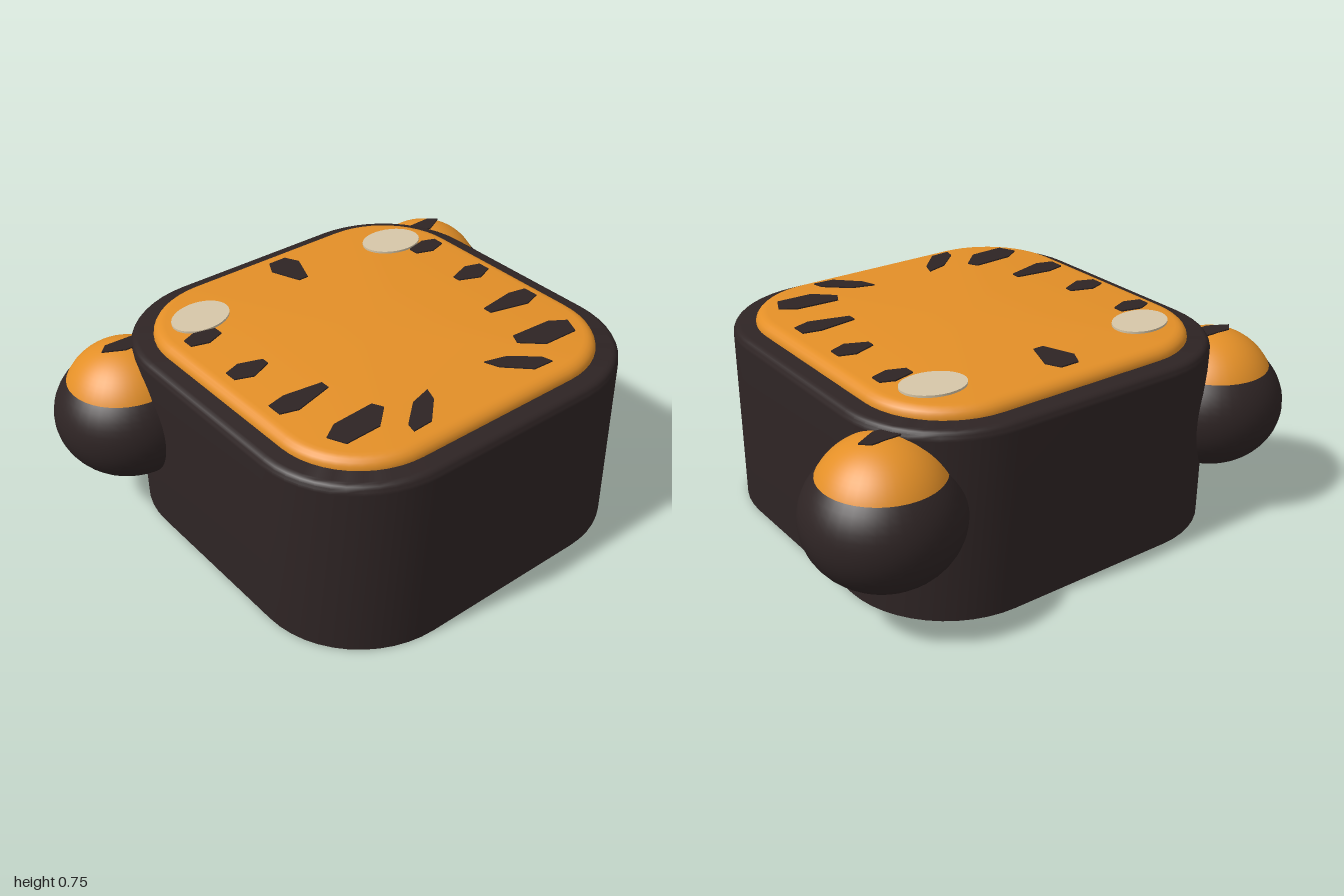
import * as THREE from 'three';
import { toCreasedNormals } from 'three/addons/utils/BufferGeometryUtils.js';

const mat = (name, color) => new THREE.MeshStandardMaterial({ name, color });

// Outline of a rounded rectangle as [x, z] points
function outline(hx, hz, r, steps = 12) {
  const pts = [];
  const corners = [[1, 1], [-1, 1], [-1, -1], [1, -1]];
  corners.forEach(([sx, sz], q) => {
    for (let i = 0; i <= steps; i++) {
      const a = (q + i / steps) * Math.PI / 2;
      pts.push([sx * (hx - r) + r * Math.cos(a), sz * (hz - r) + r * Math.sin(a)]);
    }
  });
  return pts;
}

// Closed block lofted through [inset, y] levels of a rounded rectangle
function block(hx, hz, r, levels) {
  const pos = [], idx = [];
  const rings = levels.map(([d, y]) => outline(hx - d, hz - d, r - d).map(([x, z]) => [x, y, z]));
  const n = rings[0].length;
  rings.forEach(ring => ring.forEach(p => pos.push(...p)));
  for (let k = 0; k < rings.length - 1; k++) {
    for (let i = 0; i < n; i++) {
      const a = k * n + i, b = k * n + (i + 1) % n;
      idx.push(a, a + n, b, b, a + n, b + n);
    }
  }
  const bottom = pos.length / 3, top = bottom + 1, last = (rings.length - 1) * n;
  pos.push(0, levels[0][1], 0, 0, levels[levels.length - 1][1], 0);
  for (let i = 0; i < n; i++) {
    const j = (i + 1) % n;
    idx.push(bottom, i, j, top, last + j, last + i);
  }
  const geo = new THREE.BufferGeometry();
  geo.setAttribute('position', new THREE.Float32BufferAttribute(pos, 3));
  geo.setIndex(idx);
  return toCreasedNormals(geo, 0.6);
}

// Quarter-round top edge as [inset, y] levels
function roundedTop(width, y, height, steps = 5) {
  const out = [];
  for (let i = 0; i <= steps; i++) {
    const a = i / steps * Math.PI / 2;
    out.push([width * (1 - Math.cos(a)), y + height * Math.sin(a)]);
  }
  return out;
}

// Thin plate from a list of [x, z] corners
function plate(points, y, side) {
  const shape = new THREE.Shape(points.map(([x, z]) => new THREE.Vector2(x * side, -z)));
  const geo = new THREE.ExtrudeGeometry(shape, { depth: 0.005, bevelEnabled: false });
  return geo.rotateX(-Math.PI / 2).translate(0, y, 0);
}

export function createModel() {
  const dark = mat('dark brown', 0x2e2424);
  const orange = mat('orange', 0xe38f27);
  const cream = mat('cream', 0xd6c6a8);
  const model = new THREE.Group();
  const add = (name, geo, material, x = 0, y = 0, z = 0) => {
    const mesh = new THREE.Mesh(geo, material);
    mesh.name = name;
    mesh.position.set(x, y, z);
    model.add(mesh);
    return mesh;
  };

  // Body with raised top panel and orange underside
  const cz = 0.035;
  add('body', block(0.74, 0.74, 0.4, [[0, 0.002], ...roundedTop(0.03, 0.67, 0.033)]), dark, 0, 0, cz);
  add('topPanel', block(0.657, 0.657, 0.32, [[0, 0.69], ...roundedTop(0.045, 0.705, 0.038)]), orange, 0, 0, cz);
  add('underside', block(0.69, 0.69, 0.36, [[0, 0], [0, 0.004]]), orange, 0, 0, cz);

  // Stripes around the panel, outlined for the left side (+x)
  const stripes = [
    [[0.59, -0.29], [0.54, -0.31], [0.46, -0.29], [0.46, -0.25], [0.525, -0.225], [0.59, -0.245]],
    [[0.59, -0.03], [0.53, -0.05], [0.445, -0.02], [0.445, 0.01], [0.525, 0.045], [0.59, 0.02]],
    [[0.59, 0.215], [0.52, 0.2], [0.375, 0.22], [0.375, 0.255], [0.525, 0.295], [0.59, 0.275]],
    [[0.55, 0.47], [0.49, 0.43], [0.325, 0.42], [0.305, 0.46], [0.38, 0.53], [0.52, 0.535]],
    [[0.315, 0.62], [0.305, 0.58], [0.215, 0.5], [0.13, 0.475], [0.15, 0.53], [0.235, 0.615]],
  ];
  const crown = [[-0.037, -0.545], [0.037, -0.545], [0.064, -0.49], [0.02, -0.375], [-0.02, -0.375], [-0.064, -0.49]];
  add('centreStripe', plate(crown, 0.749, 1), dark);
  const earStripe = [[0.64, -0.53], [0.775, -0.535], [0.805, -0.505], [0.73, -0.465], [0.64, -0.465]];

  for (const side of [1, -1]) {
    const label = side > 0 ? 'left' : 'right';
    stripes.forEach((s, i) => add(`${label}Stripe${i + 1}`, plate(s, 0.749, side), dark));

    // Oval spot
    const spot = add(`${label}Spot`, new THREE.CylinderGeometry(1, 1, 0.008, 32), cream, side * 0.452, 0.747, -0.396);
    spot.scale.set(0.118, 1, 0.09);
    spot.rotation.y = side * -0.2;

    // Ear: dark ball with an orange cap and a stripe
    const ear = new THREE.SphereGeometry(1, 40, 28).scale(0.275, 0.24, 0.275);
    add(`${label}Ear`, ear, dark, side * 0.725, 0.405, -0.505);
    const capAngle = Math.acos(0.1 / 0.235);
    const cap = new THREE.SphereGeometry(1, 40, 14, 0, Math.PI * 2, 0, capAngle).scale(0.239, 0.235, 0.239);
    add(`${label}EarCap`, cap, orange, side * 0.725, 0.45, -0.505);
    add(`${label}EarStripe`, plate(earStripe, 0.682, side), dark);
  }
  return model;
}
